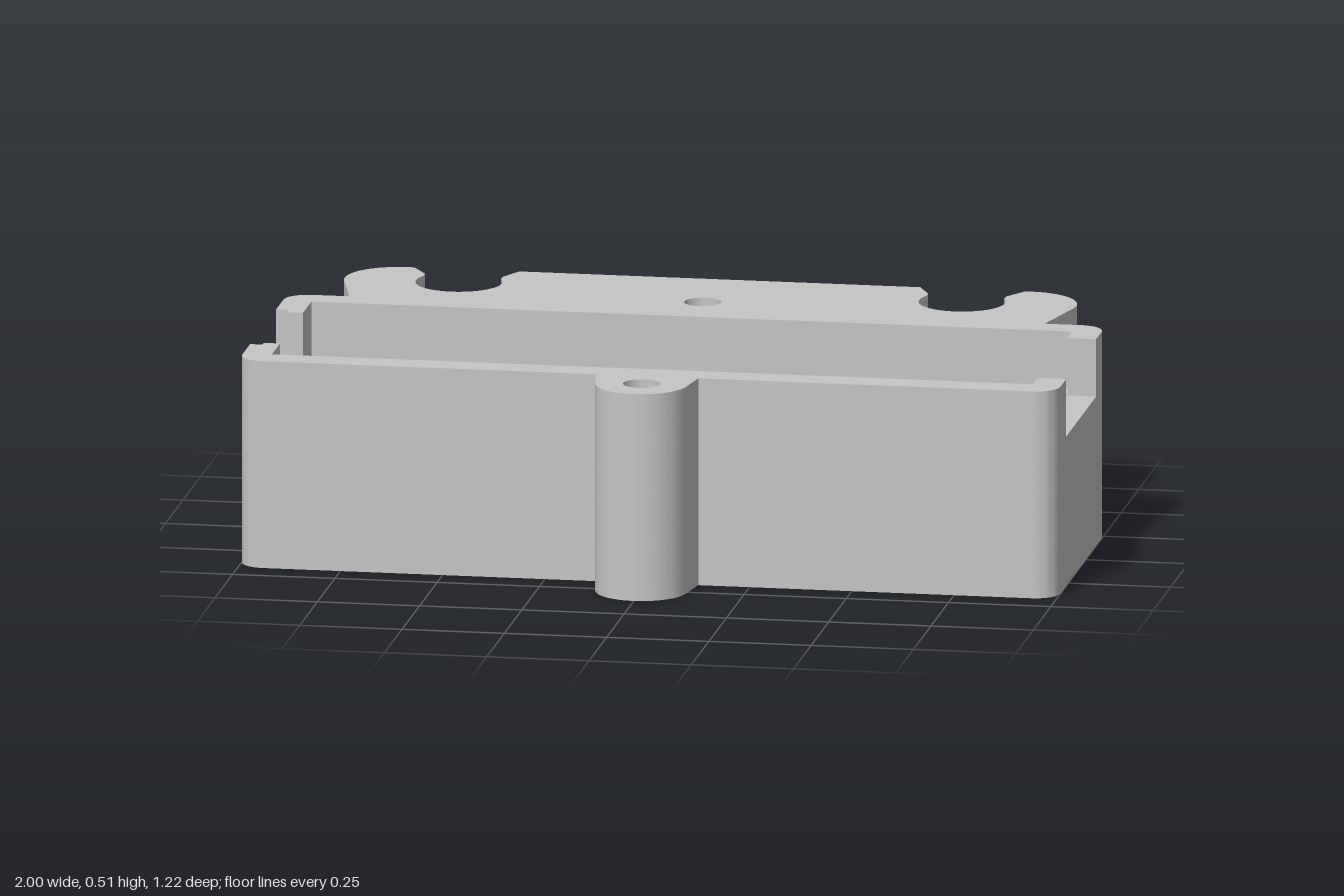
import * as THREE from 'three';
import { toCreasedNormals } from 'three/addons/utils/BufferGeometryUtils.js';

// Plan points are [x, z]
const arc = (cx, cz, r, a0, a1, n = 12) => Array.from({ length: n + 1 }, (_, i) => {
  const a = THREE.MathUtils.degToRad(a0 + (a1 - a0) * i / n);
  return [cx + r * Math.cos(a), cz + r * Math.sin(a)];
});
const circle = (cx, cz, r, n = 32) => arc(cx, cz, r, 0, 360, n).slice(0, -1);
const rect = (x0, x1, z0, z1) => [[x0, z0], [x1, z0], [x1, z1], [x0, z1]];
const mirror = (pts) => pts.map(([x, z]) => [-x, z]).reverse();

const TOP = 0.512;
const BACK = -0.612;

// Back edge from one end to the other, with hooks and gaps for the bolt blocks
function backEdge(nutSlots) {
  const half = [
    ...arc(-0.94, -0.225, 0.06, 180, 270, 16),
    [-0.85, -0.285],
    ...arc(-0.762, -0.48, 0.132, 170, 277, 24),
    [-0.71, -0.55],
    ...arc(-0.615, -0.48, 0.105, 205, -25, 36),
    [-0.52, -0.55], [-0.49, BACK], [-0.42, BACK], [-0.42, -0.4],
    ...(nutSlots ? [[-0.375, -0.4], [-0.375, -0.34], [-0.245, -0.34], [-0.245, -0.4]] : []),
    [-0.2, -0.4], [-0.2, BACK],
  ];
  return [...half, ...mirror(half)];
}

// Front edge with the screw lug
const frontEdge = [
  ...arc(0.94, 0.362, 0.06, 0, 90, 16),
  [0.125, 0.422],
  ...arc(0, 0.5, 0.112, 8, 172, 32),
  [-0.125, 0.422],
  ...arc(-0.94, 0.362, 0.06, 90, 180, 16),
];

// Cavity above the beam; sillX is where the end sill begins
const cavity = (sillX) => [
  [-0.93, -0.215], [0.408, -0.215], [0.408, -0.155], [0.93, -0.155],
  [0.93, 0.28], [0.408, 0.28], [0.408, 0.347], [-0.93, 0.347],
  [-0.93, 0.232], [sillX, 0.232], [sillX, -0.095], [-0.93, -0.095],
];

export function createModel() {
  const group = new THREE.Group();
  const grey = new THREE.MeshStandardMaterial({ color: 0xc6c6c6 });
  grey.name = 'plain grey';

  const add = (name, geometry) => {
    const mesh = new THREE.Mesh(toCreasedNormals(geometry, 0.4), grey);
    mesh.name = name;
    group.add(mesh);
    return mesh;
  };
  // Reversed so that outlines run anticlockwise and hole walls face inwards
  const toPath = (pts, Type) => new Type(pts.map(([x, z]) => new THREE.Vector2(x, -z)).reverse());
  const layer = (name, outline, holes, y0, y1) => {
    const shape = toPath(outline, THREE.Shape);
    shape.holes = holes.map((h) => toPath(h, THREE.Path));
    const geometry = new THREE.ExtrudeGeometry(shape, { depth: y1 - y0, bevelEnabled: false });
    geometry.rotateX(-Math.PI / 2).translate(0, y0, 0);
    add(name, geometry);
  };

  const lower = [...backEdge(true), ...frontEdge];
  const upper = [...backEdge(false), ...frontEdge];
  const backScrew = circle(0, -0.37, 0.045);
  const frontScrew = circle(0, 0.5, 0.045);
  const screws = [backScrew, frontScrew];
  const hexes = [circle(0, -0.37, 0.08, 6), circle(0, 0.5, 0.08, 6)];
  const slots = [rect(-0.905, 0.408, -0.215, -0.105), rect(-0.905, 0.408, 0.238, 0.347)];
  const windows = [-0.848, -0.4, 0.035].map((x) => rect(x, x + 0.364, -0.053, 0.187));
  const bigPocket = rect(0.412, 0.93, -0.155, 0.28);

  // Base with hexagonal nut recesses, then floor, then pocketed beam
  layer('baseWithNutRecesses', lower, [...hexes, ...slots], 0, 0.12);
  layer('lowerBody', lower, [...screws, ...slots], 0.12, 0.25);
  layer('pocketedBeam', lower, [...screws, ...slots, ...windows, bigPocket], 0.25, 0.33);

  // Ledge and stepped end sill around the sunken beam
  layer('lowerLedge', upper, [...screws, cavity(-0.9)], 0.33, 0.35);
  layer('upperLedge', upper, [...screws, cavity(-0.97)], 0.35, 0.37);

  // Upper walls, open at both ends
  layer('backWall', [
    ...backEdge(false), [1, -0.145], [0.93, -0.145], [0.93, -0.215],
    [-0.93, -0.215], [-0.93, -0.095], [-0.97, -0.095], [-0.97, -0.12], [-1, -0.12],
  ], [backScrew], 0.37, TOP);
  layer('frontWall', [
    ...frontEdge, [-1, 0.25], [-0.97, 0.25], [-0.97, 0.232], [-0.93, 0.232],
    [-0.93, 0.347], [0.93, 0.347], [0.93, 0.28], [1, 0.28],
  ], [frontScrew], 0.37, TOP);

  // Bolt blocks with horizontal holes running into the nut slots
  for (const side of [-1, 1]) {
    const shape = new THREE.Shape(rect(-0.11, 0.11, 0, TOP).map(([x, y]) => new THREE.Vector2(x, y)));
    shape.holes.push(new THREE.Path().absarc(0, 0.255, 0.046, 0, Math.PI * 2, true));
    const geometry = new THREE.ExtrudeGeometry(shape, { depth: -0.4 - BACK, bevelEnabled: false, curveSegments: 32 });
    add(side > 0 ? 'leftBoltBlock' : 'rightBoltBlock', geometry).position.set(side * 0.31, 0, BACK);
  }
  return group;
}
